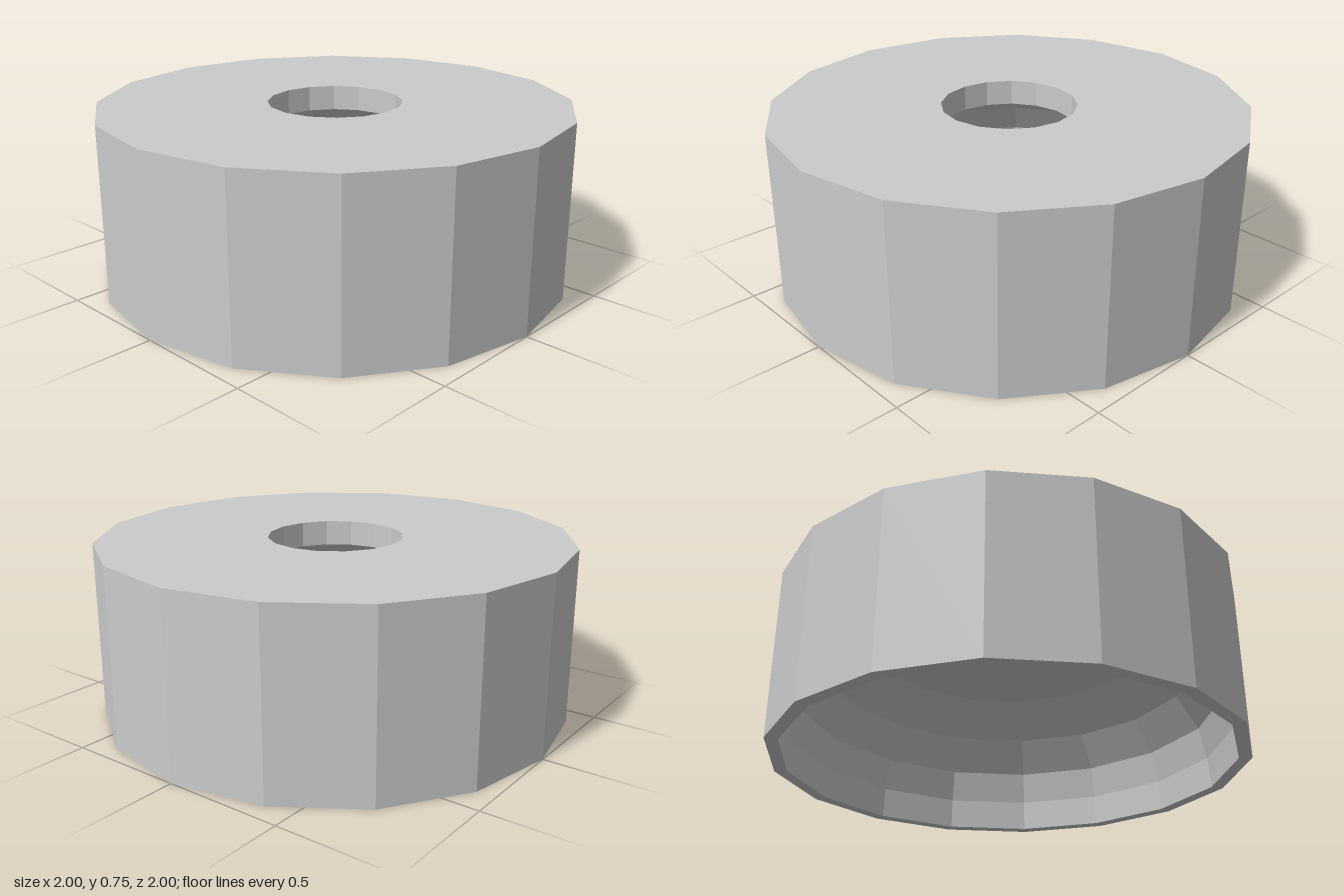
import * as THREE from 'three';

export function createModel() {
  const group = new THREE.Group();

  // Closed [radius, height] section: outer wall, top, hole, domed hollow, rim
  const profile = [
    [1, 0], [1, 0.745],
    [0.285, 0.745], [0.285, 0.638],
    [0.63, 0.566], [0.805, 0.422], [0.905, 0.275], [0.937, 0.135], [0.945, 0],
    [1, 0],
  ].map(([r, y]) => new THREE.Vector2(r, y));

  const material = new THREE.MeshStandardMaterial({ color: 0xcccccc, flatShading: true });

  // Sixteen-sided cap, open below and pierced through the top
  const cap = new THREE.Mesh(new THREE.LatheGeometry(profile, 16), material);
  cap.name = 'hollowCap';
  group.add(cap);
  return group;
}
